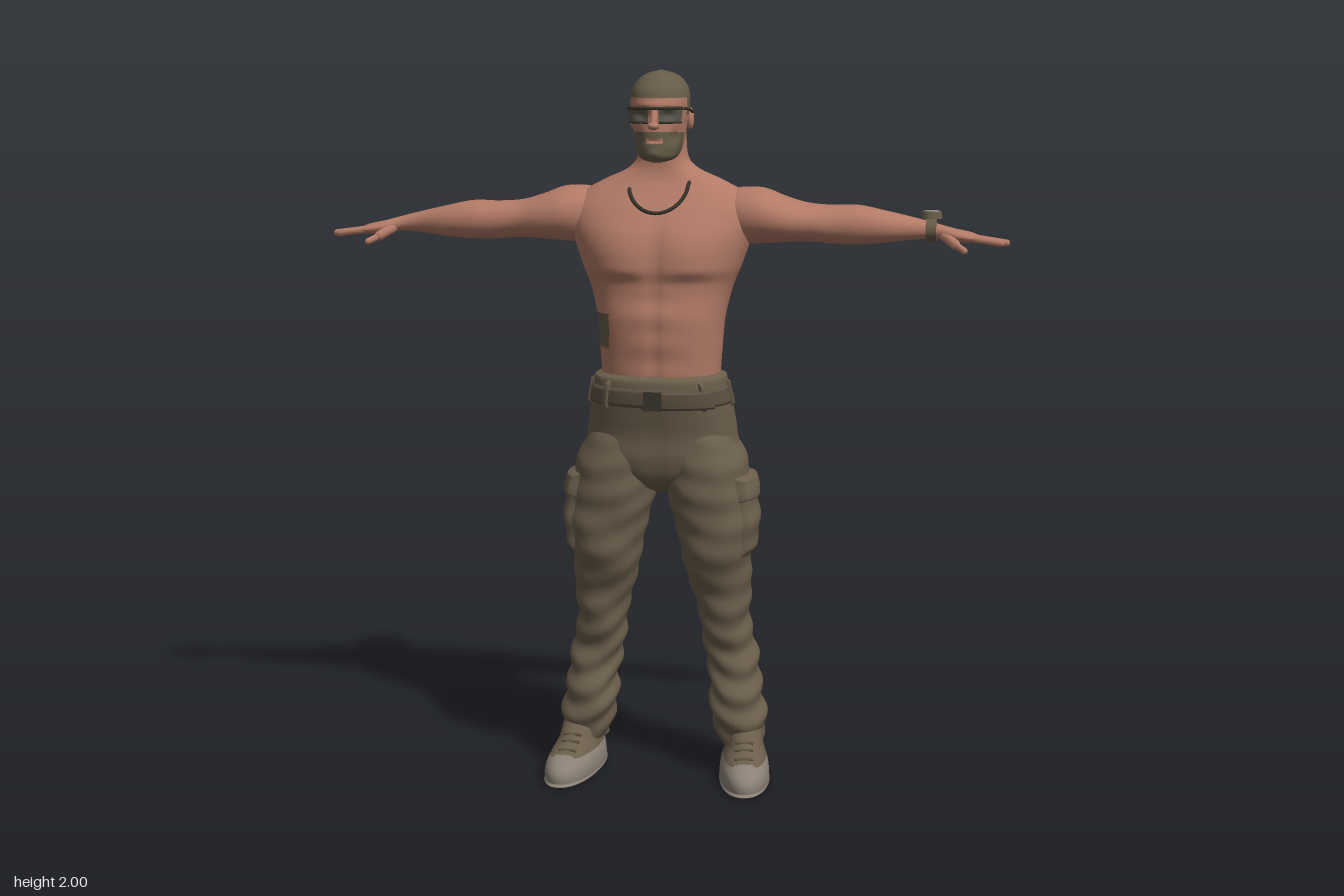
import * as THREE from 'three';
import { mergeVertices } from 'three/addons/utils/BufferGeometryUtils.js';

const paint = (name, color, side = THREE.FrontSide) => {
  const m = new THREE.MeshStandardMaterial({ color, side });
  m.name = name;
  return m;
};
const gauss = (d, w) => Math.exp(-((d / w) ** 2));
const step = THREE.MathUtils.smoothstep;
const spow = (v, e) => Math.sign(v) * Math.abs(v) ** e;

// Smooth surface through sections [height, centreX, halfWidth, frontZ, backZ]
function surface(sections, power = 2, sculpt = () => 0) {
  const slope = (i, k) => {
    const a = sections[Math.max(i - 1, 0)], b = sections[Math.min(i + 1, sections.length - 1)];
    return (b[k] - a[k]) / (b[0] - a[0]);
  };
  const at = t => {
    let i = 0;
    while (i < sections.length - 2 && t > sections[i + 1][0]) i++;
    const A = sections[i], B = sections[i + 1], h = B[0] - A[0], s = (t - A[0]) / h, q = s * s, c = q * s;
    return [1, 2, 3, 4].map(k => (2 * c - 3 * q + 1) * A[k] + (c - 2 * q + s) * h * slope(i, k)
      + (3 * q - 2 * c) * B[k] + (c - q) * h * slope(i + 1, k));
  };
  const point = (t, a, extra = 0) => {
    const [cx, r, f, b] = at(t), sn = Math.sin(a), cs = Math.cos(a);
    const x = r * spow(sn, 2 / power), e = extra + sculpt(t, a, x);
    return new THREE.Vector3(cx + x + e * sn, t, (f + b) / 2 + (f - b) / 2 * spow(cs, 2 / power) + e * cs);
  };
  return { at, point, t0: sections[0][0], t1: sections[sections.length - 1][0] };
}

// Grid over part of a surface; raise lifts it, pick(x, y, z) chooses a material index
function skinOver(s, { t0 = s.t0, t1 = s.t1, a0 = -Math.PI, a1 = Math.PI, nt = 40, na = 48, raise = () => 0, pick } = {}) {
  const pos = [], idx = [];
  for (let i = 0; i <= nt; i++) for (let j = 0; j <= na; j++) {
    const u = i / nt, v = j / na;
    pos.push(...s.point(t0 + (t1 - t0) * u, a0 + (a1 - a0) * v, raise(u, v)));
  }
  for (let i = 0; i < nt; i++) for (let j = 0; j < na; j++) {
    const p = i * (na + 1) + j, q = p + na + 1;
    idx.push(p, p + 1, q + 1, p, q + 1, q);
  }
  let g = new THREE.BufferGeometry();
  g.setAttribute('position', new THREE.Float32BufferAttribute(pos, 3));
  g.setIndex(idx);
  g = mergeVertices(g, 1e-5);
  g.computeVertexNormals();
  if (pick) {
    const P = g.attributes.position, I = g.index.array, buckets = [];
    for (let k = 0; k < I.length; k += 3) {
      const tri = [I[k], I[k + 1], I[k + 2]], mean = f => tri.reduce((sum, n) => sum + P[f](n), 0) / 3;
      (buckets[pick(mean('getX'), mean('getY'), mean('getZ'))] ??= []).push(...tri);
    }
    let start = 0;
    buckets.forEach((b, m) => { g.addGroup(start, b.length, m); start += b.length; });
    g.setIndex(buckets.flat());
  }
  return g;
}
const pad = h => (u, v) => h * Math.min(1, 9 * Math.min(u, 1 - u, v, 1 - v)) - 0.001;
const band = h => u => h * Math.min(1, 7 * Math.min(u, 1 - u)) - 0.001;

function mirror(g) {
  const m = g.clone().scale(-1, 1, 1), I = m.index.array;
  for (let k = 0; k < I.length; k += 3) [I[k], I[k + 1]] = [I[k + 1], I[k]];
  m.computeVertexNormals();
  return m;
}
function rod(a, b, r) {
  const A = new THREE.Vector3(...a), d = new THREE.Vector3(...b).sub(A);
  const g = new THREE.CapsuleGeometry(r, d.length(), 5, 10);
  g.applyQuaternion(new THREE.Quaternion().setFromUnitVectors(new THREE.Vector3(0, 1, 0), d.clone().normalize()));
  return g.translate(...A.addScaledVector(d, 0.5));
}
const tube = (pts, r, closed = false) => new THREE.TubeGeometry(
  new THREE.CatmullRomCurve3(pts.map(p => new THREE.Vector3(...p)), closed), 60, r, 6, closed);
const blob = (p, s) => new THREE.SphereGeometry(1, 20, 14).scale(...s).translate(...p);

export function createModel() {
  const skin = paint('skin', 0xb27a66), hair = paint('short hair', 0x665c48), cloth = paint('trousers', 0x6b5e4b);
  const belt = paint('belt', 0x5d5141), shoe = paint('shoe grey', 0x8b8176), sole = paint('dark sole', 0x40382f);
  const frame = paint('dark frame', 0x38332b), lens = paint('lens', 0x58564b, THREE.DoubleSide), dial = paint('watch dial', 0x8b8b7b);
  const root = new THREE.Group();
  const add = (name, g, m) => {
    const mesh = new THREE.Mesh(g, m);
    mesh.name = name;
    root.add(mesh);
  };
  const pair = (name, g, m) => { add(name + 'Left', g, m); add(name + 'Right', mirror(g), m); };

  // Torso and neck, with chest, belly and spine relief and a dark patch on the right flank
  const torso = surface([
    [1.14, 0, 0.164, 0.115, -0.128], [1.25, 0, 0.171, 0.128, -0.15], [1.32, 0, 0.177, 0.135, -0.162],
    [1.40, 0, 0.195, 0.127, -0.176], [1.48, 0, 0.225, 0.13, -0.19], [1.56, 0, 0.252, 0.118, -0.192],
    [1.62, 0, 0.26, 0.088, -0.178], [1.66, 0, 0.235, 0.06, -0.158], [1.70, 0, 0.165, 0.036, -0.132],
    [1.73, 0, 0.1, 0.028, -0.112], [1.76, 0, 0.072, 0.028, -0.096], [1.83, 0, 0.065, 0.03, -0.082]], 2.3,
  (t, a, x) => {
    if (Math.cos(a) > 0) {
      const chest = 0.016 * step(t, 1.425, 1.465) * (1 - step(t, 1.5, 1.63)) * gauss(Math.abs(x) - 0.095, 0.08);
      const middle = -0.006 * gauss(x, 0.016) * (1 - step(t, 1.58, 1.66));
      return chest + middle + 0.002 * Math.cos(t * 75) * gauss(x, 0.08) * (1 - step(t, 1.36, 1.43));
    }
    const back = 1 - step(t, 1.6, 1.72);
    return back * (-0.02 * gauss(x, 0.03) + 0.007 * gauss(Math.abs(x) - 0.12, 0.06) * gauss(t - 1.55, 0.09));
  });
  add('torso', skinOver(torso, { nt: 90, na: 96, pick: (x, y, z) =>
    x < -0.13 && z > -0.02 && Math.abs(y - 1.292) < 0.048 ? 1 : 0 }), [skin, hair]);

  // Arms run along x and end in the palms
  const arm = surface([
    [0.17, -1.605, 0.065, 0.02, -0.14], [0.22, -1.603, 0.078, 0.045, -0.158], [0.28, -1.603, 0.076, 0.056, -0.163],
    [0.34, -1.594, 0.063, 0.048, -0.153], [0.40, -1.587, 0.053, 0.03, -0.138], [0.47, -1.582, 0.053, 0.022, -0.12],
    [0.54, -1.582, 0.054, 0.02, -0.113], [0.62, -1.577, 0.043, 0.006, -0.102], [0.70, -1.572, 0.029, -0.022, -0.094],
    [0.755, -1.566, 0.021, -0.03, -0.085], [0.80, -1.557, 0.018, -0.014, -0.094],
    [0.85, -1.55, 0.014, -0.014, -0.096], [0.876, -1.547, 0.005, -0.022, -0.088]], 2.1);
  pair('arm', skinOver(arm, { nt: 60, na: 32 }).rotateZ(-Math.PI / 2), skin);
  [0.9, 0.93, 0.942, 0.928].forEach((tip, i) => {
    const z = -0.086 + i * 0.0205;
    pair('finger' + (i + 1), rod([0.85, 1.55, z], [tip, 1.538, z * 0.85 - 0.008], 0.0095), skin);
  });
  pair('thumbBase', rod([0.775, 1.555, -0.035], [0.805, 1.535, -0.003], 0.014), skin);
  pair('thumbTip', rod([0.805, 1.535, -0.003], [0.83, 1.521, 0.024], 0.0095), skin);

  // Wrist watch on the left arm
  const strap = new THREE.CylinderGeometry(0.04, 0.04, 0.028, 28, 1, false).rotateZ(Math.PI / 2).scale(1, 0.85, 1);
  add('watchStrap', strap.translate(0.738, 1.57, -0.06), hair);
  add('watchCase', new THREE.CylinderGeometry(0.027, 0.03, 0.018, 24).translate(0.738, 1.61, -0.06), hair);
  add('watchDial', new THREE.CylinderGeometry(0.021, 0.021, 0.004, 24).translate(0.738, 1.62, -0.06), dial);

  // Head with cropped hair and stubble
  const head = surface([
    [1.752, 0, 0.012, 0.085, 0.04], [1.762, 0, 0.044, 0.11, -0.01], [1.785, 0, 0.06, 0.117, -0.06],
    [1.82, 0, 0.068, 0.117, -0.083], [1.86, 0, 0.074, 0.115, -0.095], [1.90, 0, 0.079, 0.118, -0.102],
    [1.94, 0, 0.078, 0.111, -0.102], [1.97, 0, 0.064, 0.087, -0.086], [1.99, 0, 0.038, 0.052, -0.055],
    [2.0, 0, 0.002, 0.002, -0.006]], 2.15,
  (t, a) => {
    const b = Math.abs(a);
    return -0.011 * gauss(b - 0.4, 0.22) * gauss(t - 1.882, 0.014) + 0.004 * gauss(b, 0.7) * gauss(t - 1.908, 0.01)
      - 0.006 * gauss(b - 0.85, 0.3) * gauss(t - 1.825, 0.02) - 0.004 * gauss(b, 0.25) * gauss(t - 1.812, 0.005)
      + 0.004 * gauss(b, 0.3) * gauss(t - 1.778, 0.012);
  });
  add('head', skinOver(head, { nt: 100, na: 96, pick: (x, y, z) => {
    const hairline = z > 0.035 ? 1.927 : z > 0.005 ? 1.88 : 1.835;
    const lips = Math.abs(x) < 0.022 && Math.abs(y - 1.812) < 0.007;
    const stubble = z > 0.03 && y > 1.757 && y < 1.836 - 0.25 * Math.max(0, Math.abs(x) - 0.055) && !lips;
    return y > hairline || stubble ? 1 : 0;
  } }), [skin, hair]);
  add('noseBridge', rod([0, 1.895, 0.112], [0, 1.86, 0.13], 0.01), skin);
  add('noseTip', blob([0, 1.853, 0.13], [0.016, 0.011, 0.018]), skin);
  pair('ear', blob([0.079, 1.868, -0.012], [0.011, 0.03, 0.019]).rotateY(0.05), skin);

  // Sunglasses
  const lensSpot = { t0: 1.862, t1: 1.9, a0: 0.14, a1: 0.85, nt: 8, na: 14 };
  pair('lens', skinOver(head, { ...lensSpot, raise: () => 0.018 }), lens);
  const rim = [-0.85, -0.5, -0.2, 0, 0.2, 0.5, 0.85].map(a => head.point(1.9, a, 0.018).toArray());
  add('glassesBrowBar', tube(rim, 0.0045), frame);
  pair('glassesTemple', tube([rim[6], [0.084, 1.894, 0.03], [0.085, 1.885, -0.015]], 0.004), frame);
  pair('glassesLowerRim', tube([0.14, 0.35, 0.6, 0.85].map(a => head.point(1.862, a, 0.018).toArray()), 0.003), frame);

  // Cord necklace resting on the chest
  const cord = [];
  for (let i = 0; i < 24; i++) {
    const a = i / 24 * Math.PI * 2, drop = (1 + Math.cos(a)) / 2;
    const y = 1.745 - 0.128 * drop ** 1.3, x = 0.082 * Math.sin(a);
    const [, r, f, b] = torso.at(y), h = (f - b) / 2;
    const z = (f + b) / 2 + Math.sign(Math.cos(a)) * h * Math.max(0, 1 - Math.abs(x / r) ** 2.3) ** (1 / 2.3);
    cord.push([x, y, z + (Math.cos(a) > 0 ? 0.006 : -0.004)]);
  }
  add('necklace', tube(cord, 0.0055, true), frame);

  // Trouser seat, belt and back pockets
  const seat = surface([
    [0.83, 0, 0.02, 0.03, -0.06], [0.87, 0, 0.12, 0.085, -0.12], [0.93, 0, 0.212, 0.108, -0.162],
    [1.0, 0, 0.211, 0.112, -0.174], [1.06, 0, 0.203, 0.126, -0.168], [1.1, 0, 0.195, 0.135, -0.157],
    [1.145, 0, 0.186, 0.138, -0.142], [1.167, 0, 0.181, 0.132, -0.137], [1.172, 0, 0.164, 0.116, -0.124]], 2.3,
  (t, a, x) => (Math.cos(a) < 0 ? -0.016 * gauss(x, 0.03) : -0.004 * gauss(x, 0.02)) * (1 - step(t, 1.02, 1.1)));
  add('trouserSeat', skinOver(seat, { nt: 50, na: 64 }), cloth);
  add('belt', skinOver(seat, { t0: 1.085, t1: 1.14, nt: 14, na: 64, raise: band(0.006) }), belt);
  add('beltEnd', skinOver(seat, { t0: 1.08, t1: 1.135, a0: -0.15, a1: 0.95, nt: 18, na: 40, raise: pad(0.014) }), belt);
  add('buckle', new THREE.BoxGeometry(0.05, 0.052, 0.008).translate(0, 1.108, 0.151), frame);
  pair('backPocketFlap', skinOver(seat, { t0: 1.015, t1: 1.072, a0: 2.15, a1: 2.88, nt: 18, na: 24, raise: pad(0.014) }), cloth);
  for (const a of [0.7, 1.5, 2.5]) pair('beltLoop',
    skinOver(seat, { t0: 1.075, t1: 1.158, a0: a - 0.04, a1: a + 0.04, nt: 18, na: 18, raise: pad(0.012) }), cloth);

  // Trouser legs with folds and cargo pockets
  const leg = surface([
    [0.085, 0.222, 0.06, 0.01, -0.148], [0.13, 0.224, 0.069, 0.032, -0.154], [0.2, 0.215, 0.077, 0.038, -0.157],
    [0.3, 0.203, 0.073, 0.02, -0.158], [0.36, 0.193, 0.071, 0.018, -0.162], [0.45, 0.178, 0.073, 0.036, -0.157],
    [0.55, 0.168, 0.082, 0.056, -0.146], [0.65, 0.157, 0.1, 0.092, -0.132], [0.76, 0.151, 0.112, 0.106, -0.138],
    [0.85, 0.134, 0.122, 0.11, -0.15], [0.95, 0.118, 0.112, 0.106, -0.162], [1.03, 0.1, 0.08, 0.08, -0.14]], 2.2,
  (t, a) => {
    const low = 1 - step(t, 0.25, 0.6);
    return (0.0025 + 0.0035 * low) * Math.sin(t * 75 + 2.2 * Math.sin(a + 0.6) + Math.cos(2 * a))
      + 0.003 * Math.sin(t * 31 - 3 * Math.sin(a)) * (1 - step(t, 0.8, 0.95));
  });
  pair('trouserLeg', skinOver(leg, { nt: 110, na: 48 }), cloth);
  pair('cargoPocket', skinOver(leg, { t0: 0.655, t1: 0.85, a0: 0.85, a1: 2.3, nt: 30, na: 30, raise: pad(0.014) }), cloth);
  pair('cargoFlap', skinOver(leg, { t0: 0.815, t1: 0.885, a0: 0.8, a1: 2.35, nt: 18, na: 30, raise: pad(0.021) }), cloth);

  // Shoes: dark underside, grey lower part, cloth upper
  const boot = surface([
    [0, 0, 0.002, 0.02, 0.01], [0.003, 0, 0.062, 0.182, -0.148], [0.012, 0, 0.07, 0.195, -0.155],
    [0.045, 0, 0.069, 0.19, -0.154], [0.07, 0, 0.061, 0.155, -0.15], [0.095, 0, 0.053, 0.085, -0.145],
    [0.125, 0, 0.05, 0.045, -0.138], [0.15, 0, 0.044, 0.02, -0.125]], 2.15,
  (t, a) => 0.006 * Math.sin(a) * Math.cos(a) * step(t, 0.002, 0.01));
  const place = g => g.rotateY(0.1).translate(0.243, 0, 0.002);
  pair('shoe', place(skinOver(boot, { nt: 75, na: 48, pick: (x, y, z) =>
    y < 0.004 ? 2 : y > 0.07 && z < 0.13 ? 1 : 0 })), [shoe, cloth, sole]);
  for (let i = 0; i < 3; i++) {
    const y = 0.085 + i * 0.015, z = boot.at(y)[2] - 0.001;
    pair('lace', place(rod([-0.022, y, z - 0.004], [0.022, y, z - 0.004], 0.005)), belt);
  }
  return root;
}
